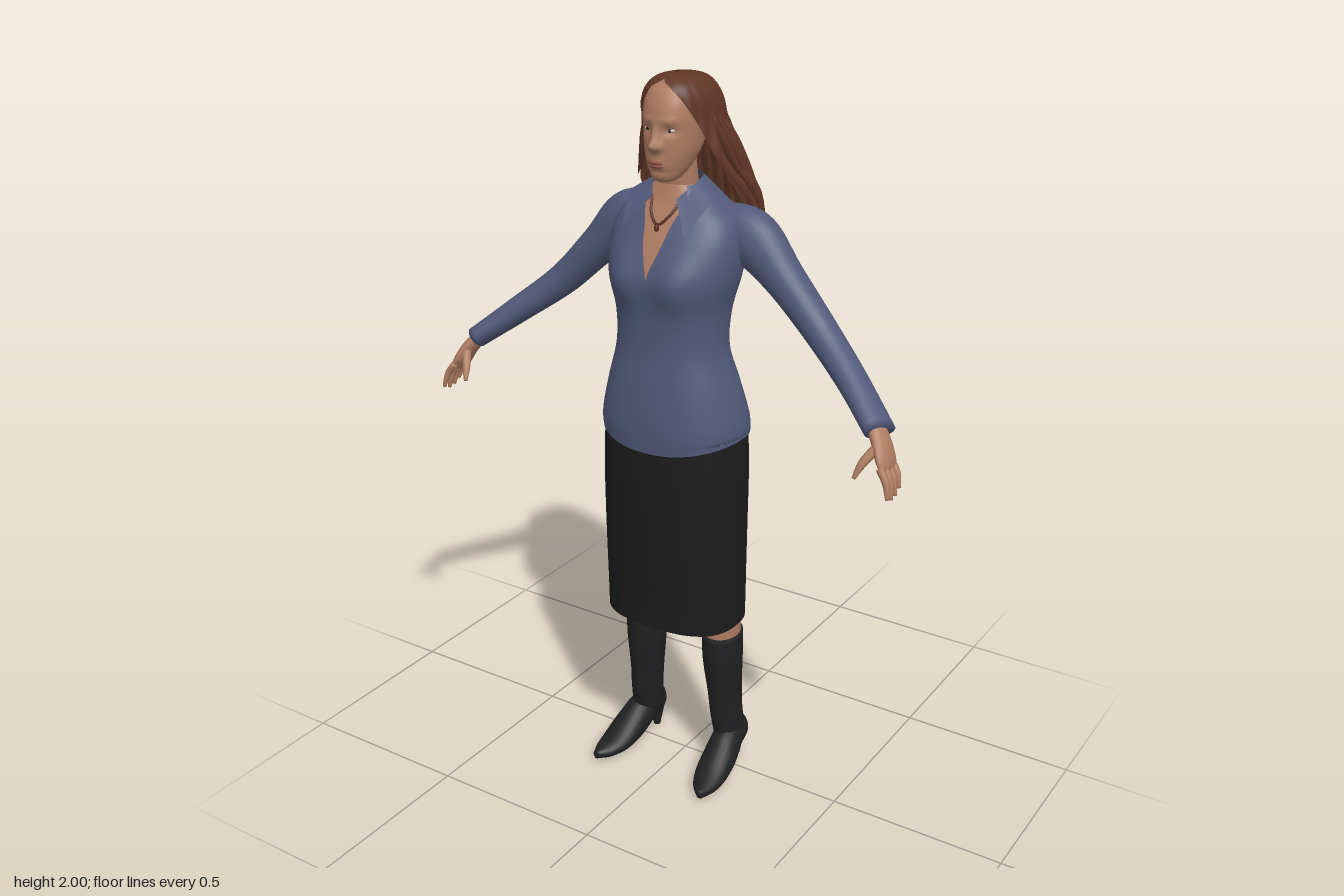
import * as THREE from 'three';
import { mergeVertices } from 'three/addons/utils/BufferGeometryUtils.js';

const mat = (name, color, side = THREE.FrontSide) => {
  const m = new THREE.MeshStandardMaterial({ color, side });
  m.name = name;
  return m;
};

// Smoothly resample a short list of numeric sections
function sample(secs, m) {
  const at = i => secs[Math.min(Math.max(i, 0), secs.length - 1)];
  return Array.from({ length: m + 1 }, (_, i) => {
    const t = (i / m) * (secs.length - 1), k = Math.min(Math.floor(t), secs.length - 2), f = t - k;
    return at(k).map((b, c) => {
      const a = at(k - 1)[c], d = at(k + 1)[c], e = at(k + 2)[c];
      return b + 0.5 * f * (d - a + f * (2 * a - 5 * b + 4 * d - e + f * (3 * (b - d) + e - a)));
    });
  });
}

// Skin a grid of points with a smooth surface
function grid(rows) {
  const n = rows[0].length, pos = [], index = [];
  rows.forEach(r => r.forEach(p => pos.push(p.x, p.y, p.z)));
  for (let i = 0; i < rows.length - 1; i++) for (let j = 0; j < n - 1; j++) {
    const a = i * n + j, b = a + 1, c = b + n, d = a + n;
    index.push(a, b, c, a, c, d);
  }
  let g = new THREE.BufferGeometry();
  g.setAttribute('position', new THREE.Float32BufferAttribute(pos, 3));
  g.setIndex(index);
  g = mergeVertices(g);
  g.computeVertexNormals();
  return g;
}

const power = (v, p) => Math.sign(v) * Math.abs(v) ** p;

// Horizontal sections, bottom to top: [y, halfWidth, zFront, zBack, openAngle]
function loft(secs, { m = 40, n = 48, p = 0.85, start = 0, rule } = {}) {
  return grid(sample(secs, m).map(([y, rx, zf, zb, open = 0]) =>
    Array.from({ length: n + 1 }, (_, j) => {
      const o = Math.max(open, 0), a = start + o + (j / n) * (2 * Math.PI - 2 * o);
      const v = new THREE.Vector3(rx * power(Math.sin(a), p), y,
        (zf + zb) / 2 + (zf - zb) / 2 * power(Math.cos(a), p));
      if (rule) rule(v, a);
      return v;
    })));
}

// Capped oval tube: [x, y, z, radiusAcross, radiusAlongHint]
function limb(secs, { m = 16, n = 20, hint = new THREE.Vector3(0, 0, 1) } = {}) {
  const s = sample(secs, m), c = s.map(q => new THREE.Vector3(q[0], q[1], q[2]));
  const rows = s.map((q, i) => {
    const T = c[Math.min(i + 1, m)].clone().sub(c[Math.max(i - 1, 0)]).normalize();
    const W = hint.clone().addScaledVector(T, -hint.dot(T)).normalize();
    const V = W.clone().cross(T);
    return Array.from({ length: n + 1 }, (_, j) => {
      const a = (j / n) * Math.PI * 2;
      return c[i].clone().addScaledVector(V, q[3] * Math.cos(a)).addScaledVector(W, q[4] * Math.sin(a));
    });
  });
  rows.unshift(rows[0].map(() => c[0].clone()));
  rows.push(rows[0].map(() => c[m].clone()));
  return grid(rows);
}

export function createModel() {
  const root = new THREE.Group();
  root.name = 'woman';
  const D = THREE.DoubleSide;
  const skin = mat('skin', 0xae7c62), lips = mat('lips', 0x8a4d42), white = mat('eyeWhite', 0xc9bdb4);
  const iris = mat('iris', 0x2c1f1a), brow = mat('brow', 0x5f3d2d), hair = mat('hair', 0x603626, D);
  const shirt = mat('shirt', 0x525a7a, D), skirt = mat('skirt', 0x1c1c1c, D);
  const boot = mat('boot', 0x212123), chain = mat('necklace', 0x5a2c22);
  const add = (name, geo, m) => {
    const mesh = new THREE.Mesh(geo, m);
    mesh.name = name;
    root.add(mesh);
    return mesh;
  };
  const ball = (name, m, pos, size) => {
    const b = add(name, new THREE.SphereGeometry(1, 20, 14), m);
    b.position.set(...pos);
    b.scale.set(...size);
    return b;
  };
  const bump = (v, x, y, sx, sy) => Math.exp(-(((v.x - x) / sx) ** 2) - ((v.y - y) / sy) ** 2);

  // Blouse with an open V neck, and the chest beneath it
  const body = [
    [1.03, 0.203, 0.197, -0.105, 0], [1.1, 0.203, 0.2, -0.105, 0], [1.2, 0.179, 0.192, -0.082, 0],
    [1.3, 0.152, 0.18, -0.057, 0], [1.4, 0.154, 0.178, -0.066, 0], [1.5, 0.178, 0.18, -0.085, 0],
    [1.58, 0.183, 0.157, -0.09, 0.1], [1.64, 0.165, 0.127, -0.085, 0.2],
    [1.68, 0.125, 0.105, -0.07, 0.4], [1.725, 0.064, 0.088, -0.04, 0.8]];
  const bust = v => {
    if (v.z > 0.04) v.z += 0.025 * (bump(v, 0.08, 1.49, 0.06, 0.07) + bump(v, -0.08, 1.49, 0.06, 0.07));
    if (v.y < 1.06) v.y += 0.03 * (v.x / 0.2) ** 2;
  };
  add('blouse', loft(body, { m: 60, n: 64, rule: bust }), shirt);
  add('chest', loft(body.slice(4).map(([y, rx, zf, zb]) => [y, rx - 0.007, zf - 0.007, zb + 0.007]),
    { rule: bust }), skin);
  add('neck', limb([[0, 1.62, 0.02, 0.052, 0.05], [0, 1.7, 0.025, 0.048, 0.05], [0, 1.8, 0.04, 0.046, 0.05]]), skin);
  const chainPath = new THREE.CatmullRomCurve3([[-0.045, 1.695, 0.085], [-0.027, 1.655, 0.118], [0, 1.632, 0.132],
    [0.027, 1.655, 0.118], [0.045, 1.695, 0.085]].map(q => new THREE.Vector3(...q)));
  add('necklace', new THREE.TubeGeometry(chainPath, 24, 0.004, 6), chain);
  ball('pendant', chain, [0, 1.624, 0.136], [0.007, 0.009, 0.006]);

  // Pencil skirt with a back slit
  add('skirt', loft([
    [0.5, 0.197, 0.184, -0.092, 0.09], [0.58, 0.198, 0.185, -0.093, 0.05], [0.68, 0.199, 0.188, -0.094, 0],
    [0.8, 0.2, 0.191, -0.096, 0], [0.95, 0.2, 0.193, -0.1, 0], [1.08, 0.195, 0.189, -0.098, 0]],
  { p: 0.78, start: Math.PI }), skirt);

  // Head with sculpted nose, brow, sockets and chin
  add('head', loft([
    [1.737, 0.006, 0.105, 0.085], [1.741, 0.028, 0.124, 0.06], [1.765, 0.047, 0.133, 0.02],
    [1.81, 0.065, 0.137, -0.02], [1.86, 0.073, 0.137, -0.05], [1.9, 0.076, 0.137, -0.06],
    [1.94, 0.073, 0.125, -0.06], [1.97, 0.055, 0.1, -0.045], [1.985, 0.02, 0.05, -0.01]], {
    m: 64, n: 96, p: 0.92, rule: v => {
      if (v.z < 0.05) return;
      v.z += 0.024 * bump(v, 0, 1.832, 0.012, 0.014) + 0.013 * bump(v, 0, 1.855, 0.01, 0.022)
        + 0.005 * bump(v, 0, 1.785, 0.024, 0.015) - 0.004 * bump(v, 0, 1.767, 0.03, 0.007);
      for (const s of [-1, 1]) v.z += 0.009 * bump(v, s * 0.013, 1.828, 0.007, 0.008)
        - 0.009 * bump(v, s * 0.032, 1.868, 0.017, 0.012) + 0.003 * bump(v, s * 0.03, 1.893, 0.025, 0.008);
    } }), skin);
  ball('upperLip', lips, [0, 1.789, 0.138], [0.022, 0.0045, 0.007]);
  ball('lowerLip', lips, [0, 1.781, 0.137], [0.019, 0.005, 0.008]);

  // Hair mass, open around the face
  const mane = [
    [1.5, 0.07, -0.075, -0.11, 1.3], [1.475, 0.09, -0.08, -0.155, 1.3], [1.51, 0.125, -0.04, -0.182, 1.3],
    [1.6, 0.155, 0.0, -0.192, 1.3], [1.7, 0.156, 0.05, -0.165, 1.2], [1.8, 0.122, 0.11, -0.138, 1.15],
    [1.88, 0.1, 0.13, -0.118, 1.0], [1.93, 0.093, 0.132, -0.103, 0.75], [1.965, 0.079, 0.123, -0.08, 0.45],
    [1.988, 0.052, 0.095, -0.045, 0], [1.998, 0.006, 0.045, 0.03, 0]];
  add('hair', loft(mane, { m: 70, n: 120, p: 0.95, rule: (v, a) => {
    const k = Math.min(1, (2 - v.y) * 5), w = 1 + 0.03 * k * Math.sin(a * 19 + 2.5 * Math.sin(v.y * 22));
    v.x *= w;
    v.z = (v.z + 0.03) * w - 0.03;
  } }), hair);

  // Loose wavy locks with flicked ends
  const rings = sample(mane, 100);
  const LOCKS = 19;
  for (let i = 0; i < LOCKS; i++) {
    const a = 1.45 + (i / (LOCKS - 1)) * (2 * Math.PI - 2.9);
    for (let tier = 0; tier < 3; tier++) {
      const shift = (i * 7 + tier * 5) % 6, from = 62 - tier * 14 - shift;
      const path = [0, 7, 14, 20].map((d, k) => {
        const [y, rx, zf, zb] = rings[Math.max(from - d, 18)];
        const out = [0.97, 1.02, 1.03, 1.1][k], r = [0.006, 0.014, 0.012, 0.001][k];
        return [rx * Math.sin(a + 0.03 * k) * out, y - (k === 3 ? 0.01 : 0),
          (zf + zb) / 2 + (zf - zb) / 2 * Math.cos(a + 0.03 * k) * out, r, r * 0.7];
      });
      add('hairLock', limb(path, { m: 8, n: 8 }), hair);
    }
  }

  // Paired parts
  for (const s of [-1, 1]) {
    const side = s > 0 ? 'left' : 'right';
    const flip = secs => secs.map(([x, ...rest]) => [s * x, ...rest]);
    const part = (name, secs, m, opt) => add(side + name, limb(flip(secs), opt), m);

    // Eye and brow
    ball(side + 'Eye', white, [s * 0.032, 1.869, 0.116], [0.012, 0.006, 0.009]);
    ball(side + 'Iris', iris, [s * 0.032, 1.869, 0.1215], [0.005, 0.0052, 0.005]);
    part('Brow', [[0.014, 1.888, 0.134, 0.003, 0.003], [0.034, 1.893, 0.127, 0.003, 0.004],
      [0.052, 1.886, 0.108, 0.002, 0.003]], brow, { n: 8 });

    // Collar wing
    const edge = pts => new THREE.CatmullRomCurve3(pts.map(([x, y, z]) => new THREE.Vector3(s * x, y, z))).getPoints(16);
    add(side + 'Collar', grid([
      edge([[0, 1.75, -0.035], [0.053, 1.742, 0], [0.062, 1.73, 0.05], [0.036, 1.695, 0.1]]),
      edge([[0, 1.7, -0.078], [0.105, 1.7, -0.01], [0.122, 1.693, 0.065], [0.093, 1.62, 0.155]])]), shirt);

    // Sleeve and cuff
    part('Sleeve', [[0.09, 1.59, -0.02, 0.075, 0.065], [0.185, 1.588, -0.022, 0.077, 0.063],
      [0.285, 1.502, -0.015, 0.054, 0.054], [0.4, 1.39, 0, 0.044, 0.047],
      [0.52, 1.295, 0.05, 0.037, 0.045], [0.63, 1.208, 0.112, 0.03, 0.049]], shirt, { m: 36, n: 28 });

    // Hand
    part('Palm', [[0.612, 1.222, 0.104, 0.02, 0.028], [0.643, 1.182, 0.124, 0.019, 0.036],
      [0.663, 1.145, 0.138, 0.016, 0.041], [0.67, 1.123, 0.144, 0.009, 0.035]], skin);
    for (let i = 0; i < 4; i++) {
      const z = 0.112 + 0.021 * i, len = [0.8, 0.95, 1, 0.9][i];
      part('Finger', [[0.664, 1.14, z, 0.01, 0.01], [0.685, 1.14 - 0.035 * len, z + 0.006, 0.009, 0.009],
        [0.695, 1.14 - 0.078 * len, z + 0.014, 0.005, 0.005]], skin, { m: 8, n: 10 });
    }
    part('Thumb', [[0.638, 1.175, 0.15, 0.013, 0.013], [0.618, 1.142, 0.178, 0.011, 0.011],
      [0.607, 1.108, 0.197, 0.005, 0.005]], skin, { m: 8, n: 10 });

    // Leg and high-heeled boot
    part('Leg', [[0.125, 0.75, 0.03, 0.062, 0.068], [0.128, 0.5, 0.012, 0.053, 0.06],
      [0.13, 0.4, 0.008, 0.047, 0.06]], skin);
    part('BootShaft', [[0.129, 0.445, 0.008, 0.054, 0.068], [0.13, 0.36, 0.006, 0.053, 0.067],
      [0.134, 0.25, 0, 0.046, 0.057], [0.138, 0.17, -0.005, 0.043, 0.055],
      [0.143, 0.09, -0.02, 0.04, 0.055]], boot, { n: 28 });
    part('BootFoot', [[0.141, 0.1, -0.084, 0.015, 0.02], [0.143, 0.1, -0.055, 0.038, 0.042],
      [0.148, 0.09, 0, 0.043, 0.05], [0.156, 0.058, 0.06, 0.049, 0.045], [0.163, 0.034, 0.12, 0.047, 0.032],
      [0.172, 0.024, 0.17, 0.034, 0.021], [0.18, 0.023, 0.208, 0.01, 0.012]], boot,
    { m: 24, n: 24, hint: new THREE.Vector3(0, 1, 0) });
    add(side + 'Heel', new THREE.CylinderGeometry(0.026, 0.01, 0.08, 14), boot).position.set(s * 0.141, 0.04, -0.058);
  }
  return root;
}
